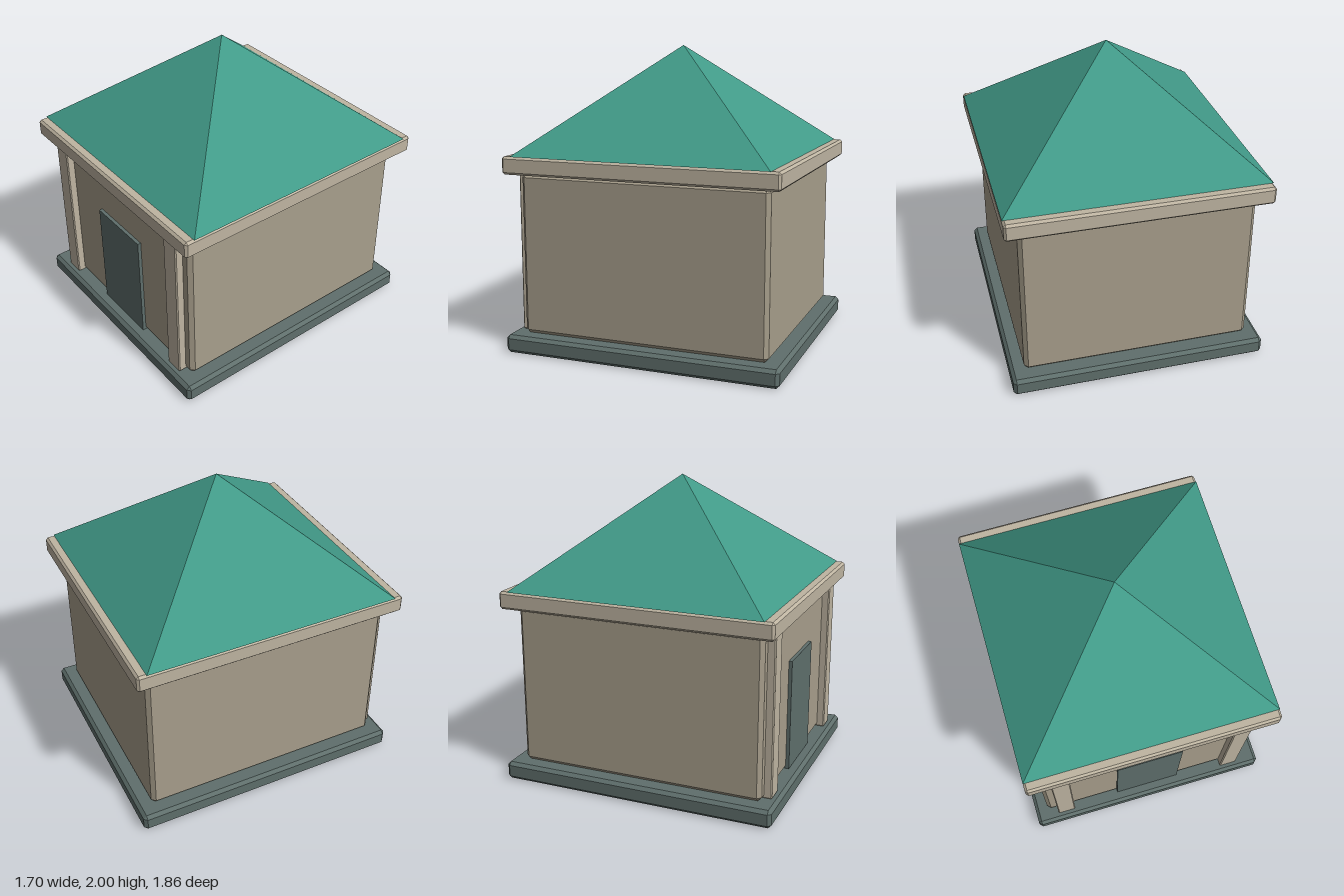
import * as THREE from 'three';
import { ConvexGeometry } from 'three/addons/geometries/ConvexGeometry.js';

const material = (color) => new THREE.MeshStandardMaterial({ color, flatShading: true });

// Box between two corners with every edge and corner cut at 45 degrees
function chamferBox(name, min, max, cut, mat) {
  const lo = new THREE.Vector3(...min);
  const hi = new THREE.Vector3(...max);
  const half = hi.clone().sub(lo).multiplyScalar(0.5);
  const points = [];
  for (const sx of [-1, 1]) for (const sy of [-1, 1]) for (const sz of [-1, 1]) {
    for (const axis of ['x', 'y', 'z']) {
      const p = half.clone().subScalar(cut);
      p[axis] += cut;
      points.push(p.multiply(new THREE.Vector3(sx, sy, sz)));
    }
  }
  const mesh = new THREE.Mesh(new ConvexGeometry(points), mat);
  mesh.position.copy(lo).add(hi).multiplyScalar(0.5);
  if (lo.x + hi.x === 0) mesh.position.x = 0;
  mesh.name = name;
  return mesh;
}

export function createModel() {
  const model = new THREE.Group();
  model.name = 'smallHouse';
  const stone = material(0xa89f8c);
  const trim = material(0xbfb5a2);
  const slate = material(0x5f6f6c);
  const green = material(0x419a88);

  // Plinth, walls and eaves slab
  model.add(chamferBox('plinth', [-0.85, 0, -0.93], [0.85, 0.12, 0.93], 0.022, slate));
  model.add(chamferBox('walls', [-0.76, 0.12, -0.835], [0.76, 1.19, 0.835], 0.026, stone));
  model.add(chamferBox('eaves', [-0.85, 1.19, -0.922], [0.85, 1.307, 0.922], 0.015, trim));

  // Corner pillars on the front wall
  for (const [name, x] of [['leftPillar', 0.627], ['rightPillar', -0.627]]) {
    model.add(chamferBox(name, [x - 0.063, 0.122, 0.76], [x + 0.063, 1.19, 0.886], 0.007, trim));
  }

  // Door panel standing slightly proud of the wall
  const door = new THREE.Mesh(new THREE.BoxGeometry(0.46, 0.75, 0.04), slate);
  door.position.set(0, 0.5, 0.838);
  door.name = 'door';
  model.add(door);

  // Four-sided pyramid roof
  const roofGeometry = new THREE.ConeGeometry(Math.SQRT2, 0.693, 4, 1);
  roofGeometry.rotateY(Math.PI / 4).scale(0.85, 1, 0.86);
  const roof = new THREE.Mesh(roofGeometry, green);
  roof.position.y = 1.307 + 0.693 / 2;
  roof.name = 'roof';
  model.add(roof);

  return model;
}
